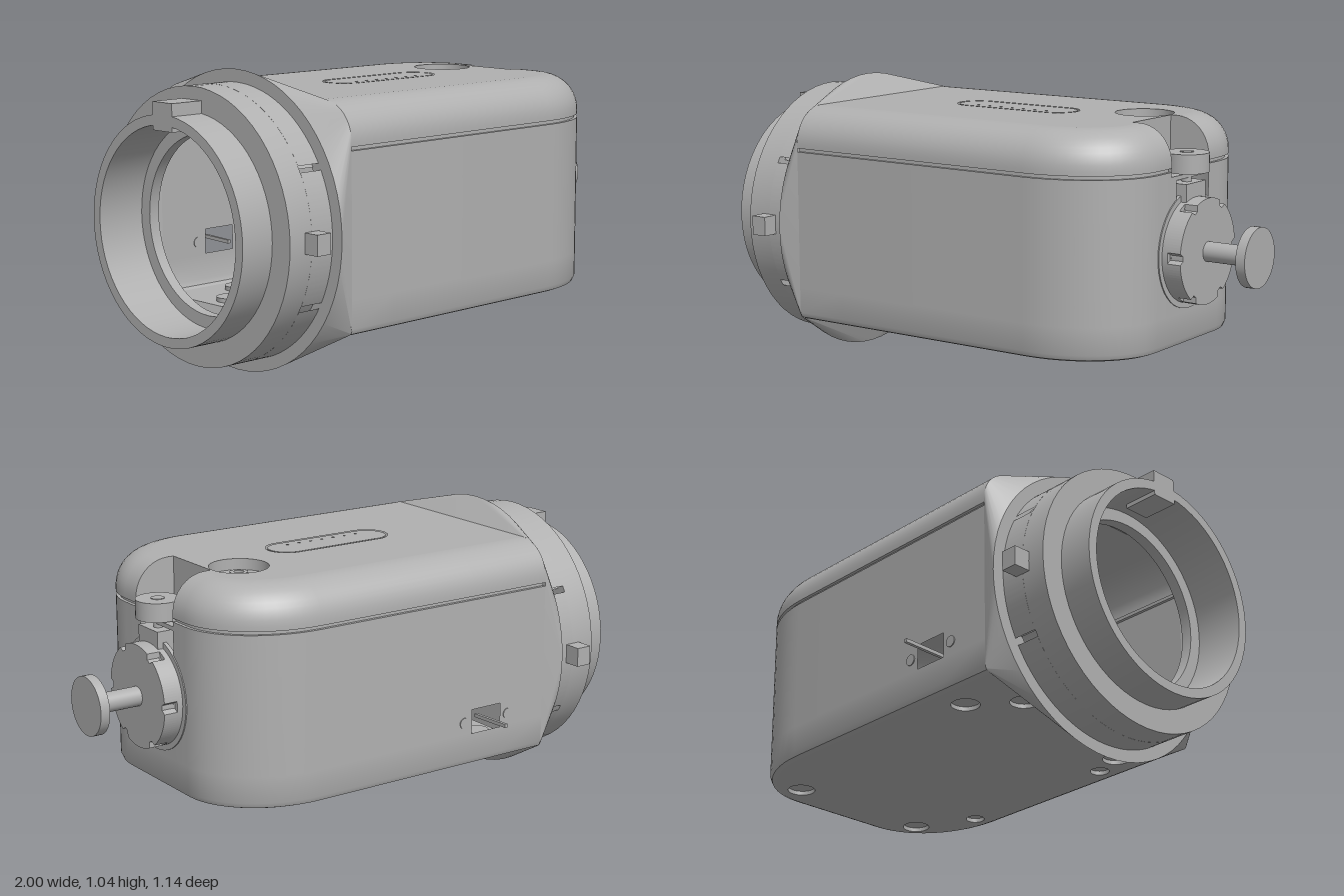
import * as THREE from 'three';
import { toCreasedNormals } from 'three/addons/utils/BufferGeometryUtils.js';

const CY = 0.525, CZ = 0.035;             // axis of the round mount and knobs
const BACK = -0.62, HALF = 0.4925;        // open end and half width of the housing
const BOTTOM = 0.19, TOP = 0.965, R_TOP = 0.13, R_BOT = 0.025;
const NOTCH = [-0.125, 0.122], NOTCH_X = 0.57, NOTCH_Y = 0.79;

export function createModel() {
  const model = new THREE.Group();
  const grey = new THREE.MeshStandardMaterial({ color: 0xb0b0b0, side: THREE.DoubleSide });
  grey.name = 'light grey';

  const add = (name, geo, x = 0, y = 0, z = 0) => {
    const mesh = new THREE.Mesh(geo, grey);
    mesh.name = name;
    mesh.position.set(x, y, z);
    model.add(mesh);
    return mesh;
  };
  const box = (name, x0, x1, y0, y1, z0, z1) => add(name,
    new THREE.BoxGeometry(x1 - x0, y1 - y0, z1 - z0), (x0 + x1) / 2, (y0 + y1) / 2, (z0 + z1) / 2);

  // Surface through rows of points, with optional openings
  const skin = (rows, skip = () => false) => {
    const pos = [];
    for (let r = 0; r < rows.length - 1; r++)
      for (let c = 0; c < rows[r].length - 1; c++) {
        if (skip(r, c)) continue;
        const [a, b, d, e] = [rows[r][c], rows[r][c + 1], rows[r + 1][c], rows[r + 1][c + 1]];
        pos.push(...a, ...d, ...b, ...b, ...d, ...e);
      }
    const geo = new THREE.BufferGeometry();
    geo.setAttribute('position', new THREE.Float32BufferAttribute(pos, 3));
    return toCreasedNormals(geo, 0.5);
  };

  // Lathe and disc turned around the x axis
  const turn = (name, pts, start = 0, sweep = Math.PI * 2) => {
    const profile = pts.map(([r, x]) => new THREE.Vector2(r, x));
    const geo = new THREE.LatheGeometry(profile, 64, start, sweep).rotateZ(-Math.PI / 2);
    return add(name, toCreasedNormals(geo, 0.5), 0, CY, CZ);
  };
  const disc = (name, r, x0, x1) => add(name,
    new THREE.CylinderGeometry(r, r, x1 - x0, 48).rotateZ(-Math.PI / 2), (x0 + x1) / 2, CY, CZ);

  // Housing outline seen from above, moved inwards by an inset
  const A = 0.355, B = 0.2925, FX = 0.725, N = 14;
  const plan = (inset) => {
    const side = [BACK, -0.42, -0.29].map((x) => [x, HALF - inset]);
    for (let i = 0; i <= N; i++) {
      const t = Math.PI / 2 * (1 - i / N);
      const n = new THREE.Vector2(Math.cos(t) / A, Math.sin(t) / B).normalize();
      side.push([FX - A + A * Math.cos(t) - n.x * inset, HALF - B + B * Math.sin(t) - n.y * inset]);
    }
    const front = [NOTCH[0], 0.09, NOTCH[1]].map((z) => [FX - inset, z]);
    return [...side.map(([x, z]) => [x, -z]), ...front, ...side.slice().reverse()]
      .map(([x, z]) => [x, z + CZ]);
  };
  const LO = N + 4;                       // index of the first notch point

  // Housing walls: rounded bottom edge, seam groove, rounded top edge
  const levels = [[BOTTOM, R_BOT], [0.197, 0.008], [0.215, 0], [0.31, 0], [0.4, 0], [0.66, 0],
    [0.775, 0], [NOTCH_Y, 0], [0.807, 0], [0.807, 0.012], [0.82, 0.012], [0.82, 0]];
  const arc = [];
  for (let i = 0; i <= 10; i++) {
    const t = Math.PI / 2 * i / 10;
    arc.push([TOP - R_TOP + R_TOP * Math.sin(t), R_TOP * (1 - Math.cos(t))]);
  }
  levels.push(...arc);
  const rows = levels.map(([y, inset]) => plan(inset).map(([x, z]) => [x, y, z]));
  add('housing', skin(rows, (r, c) => {
    const y = levels[r][0];
    const inNotch = c >= LO && c < LO + 2 && y >= NOTCH_Y;
    const underNotch = c === LO && y === 0.66;
    const switchWindow = c === 1 && y === 0.31;
    return inNotch || underNotch || switchWindow;
  }));

  // Flat covers with pits
  const flat = (pts, holes = []) => {
    const shape = new THREE.Shape(pts.map(([x, z]) => new THREE.Vector2(x, -z)));
    shape.holes.push(...holes);
    return new THREE.ShapeGeometry(shape, 16).rotateX(-Math.PI / 2);
  };
  const circle = (x, z, r) => new THREE.Path().absarc(x, -z, r, 0, Math.PI * 2, true);
  const stadium = (r, Type = THREE.Path) => {
    const s = new Type();
    s.absarc(0.175, -0.03, r, -Math.PI / 2, Math.PI / 2, false);
    s.absarc(-0.175, -0.03, r, Math.PI / 2, Math.PI * 1.5, false);
    s.closePath();
    return s;
  };
  const pit = (name, x, z, r, y0, y1, floor) => {
    add(name + 'Wall', new THREE.CylinderGeometry(r, r, y1 - y0, 32, 1, true), x, (y0 + y1) / 2, z);
    add(name + 'Floor', new THREE.CircleGeometry(r, 32).rotateX(-Math.PI / 2), x, floor, z);
  };

  const topLine = plan(R_TOP).flatMap((p, i) => {
    if (i === LO) return [p, [NOTCH_X, p[1]]];
    if (i === LO + 1) return [];
    return i === LO + 2 ? [[NOTCH_X, p[1]], p] : [p];
  });
  add('topCover', flat(topLine, [circle(0.46, -0.095, 0.105), stadium(0.078)]), 0, TOP, 0);
  pit('topDial', 0.46, -0.095, 0.105, TOP - 0.04, TOP, TOP - 0.04);
  add('dialPin', toCreasedNormals(new THREE.LatheGeometry(
    [[0.018, 0], [0.018, 0.02], [0.032, 0.02], [0.032, 0]].map((p) => new THREE.Vector2(...p)), 24), 0.5),
  0.46, TOP - 0.04, -0.095);

  // Oval plate in a fine groove
  add('ovalPlate', new THREE.ExtrudeGeometry(stadium(0.07, THREE.Shape),
    { depth: 0.015, bevelEnabled: false, curveSegments: 16 }).rotateX(-Math.PI / 2), 0, TOP - 0.015, 0);
  add('ovalGroove', new THREE.ShapeGeometry(stadium(0.08, THREE.Shape), 16)
    .rotateX(-Math.PI / 2), 0, TOP - 0.015, 0);
  for (let i = 0; i < 7; i++)
    add('plateDot', new THREE.CylinderGeometry(0.005, 0.005, 0.003, 8), -0.15 + i * 0.05, TOP, 0.065);

  // Underside with feet recesses and mounting holes
  const pits = [[0.6, -0.24, 0.05], [0.6, 0.33, 0.05], [-0.38, -0.32, 0.05], [-0.4, 0.4, 0.05],
    [-0.53, -0.19, 0.05], [-0.53, 0.05, 0.05], [0.38, 0.44, 0.035], [-0.28, 0.44, 0.035]];
  add('underside', flat(plan(R_BOT), pits.map((p) => circle(...p))), 0, BOTTOM, 0);
  pits.forEach(([x, z, r]) => pit('footRecess', x, z, r, BOTTOM, BOTTOM + 0.015, BOTTOM + 0.015));

  // Notch in the upper front edge
  const cheek = new THREE.Shape([[NOTCH_X, NOTCH_Y], [FX, NOTCH_Y],
    ...arc.map(([y, inset]) => [FX - inset, y]), [NOTCH_X, TOP]].map((p) => new THREE.Vector2(...p)));
  NOTCH.forEach((z) => add('notchCheek', new THREE.ShapeGeometry(cheek), 0, 0, CZ + z));
  const [n0, n1] = NOTCH.map((z) => z + CZ);
  add('notchBack', new THREE.PlaneGeometry(n1 - n0, TOP - NOTCH_Y).rotateY(Math.PI / 2),
    NOTCH_X, (TOP + NOTCH_Y) / 2, (n0 + n1) / 2);
  add('notchFloor', flat([[NOTCH_X, n0], [FX, n0], [FX, n1], [NOTCH_X, n1]]), 0, NOTCH_Y, 0);

  // Small vertical knob on its block
  box('knobBlock', 0.68, 0.75, 0.66, 0.76, -0.028, 0.1);
  add('smallKnobStem', new THREE.CylinderGeometry(0.017, 0.017, 0.05, 20), 0.71, 0.775, 0.033);
  add('smallKnob', new THREE.CylinderGeometry(0.078, 0.078, 0.067, 40), 0.71, 0.828, 0.033);
  add('smallKnobCentre', new THREE.CylinderGeometry(0.024, 0.024, 0.004, 24), 0.71, 0.862, 0.033);

  // Large front dial with six grip notches, shaft and button
  disc('dialSeat', 0.205, 0.715, 0.729);
  disc('dialBase', 0.168, 0.72, 0.755);
  const rim = [];
  for (let i = 0; i < 120; i++) {
    const near = Math.abs((i + 10) % 20 - 10);
    const r = near <= 1 ? 0.166 : 0.185, a = i * Math.PI / 60;
    rim.push(new THREE.Vector2(r * Math.cos(a), r * Math.sin(a)));
  }
  add('frontDial', new THREE.ExtrudeGeometry(new THREE.Shape(rim), { depth: 0.05, bevelEnabled: false })
    .rotateY(Math.PI / 2), 0.75, CY, CZ);
  disc('dialRear', 0.185, 0.725, 0.75);
  disc('shaft', 0.035, 0.79, 0.97);
  disc('shaftButton', 0.105, 0.965, 1.0);

  // Flange blending the round mount into the housing section
  const ring = [], section = [];
  for (let q = 0; q < 4; q++)
    for (let i = 0; i <= 16; i++) {
      const t = (q + i / 16) * Math.PI / 2, c = Math.cos(t), s = Math.sin(t);
      const r = q < 2 ? R_TOP : R_BOT, sz = q === 0 || q === 3 ? 1 : -1;
      ring.push([-0.69, CY + 0.52 * s, CZ + 0.52 * c]);
      section.push([BACK, (q < 2 ? TOP - r : BOTTOM + r) + r * s, CZ + sz * (HALF - r) + r * c]);
    }
  ring.push(ring[0]);
  section.push(section[0]);
  add('flange', skin([ring, section]));
  turn('flangeFace', [[0.44, -0.69], [0.52, -0.69]]);

  // Round mount with stepped bore, and a collar split by four slots
  turn('mountRing', [[0.355, -1], [0.39, -1], [0.39, -0.875], [0.475, -0.875], [0.475, -0.78],
    [0.31, -0.78], [0.31, -0.82], [0.355, -0.82], [0.355, -1]]);
  const collar = [[0.445, -0.78], [0.475, -0.78], [0.475, -0.69], [0.445, -0.69], [0.445, -0.78]];
  const slot = 0.506, gap = 0.025;
  for (const base of [0, Math.PI]) {
    turn('collarSide', collar, base - slot + gap, 2 * (slot - gap));
    turn('collarArc', collar, base + slot + gap, Math.PI - 2 * (slot + gap));
  }
  box('topTab', -1, -0.87, 0.86, 0.955, -0.02, 0.08);
  box('leftLug', -0.81, -0.75, 0.49, 0.56, 0.49, 0.567);
  box('rightLug', -0.81, -0.75, 0.49, 0.56, -0.502, -0.42);

  // Rear switch lever with two screws
  box('switchLever', -0.361, -0.349, 0.348, 0.361, -0.57, -0.4).rotation.x = 0.03;
  for (const x of [-0.455, -0.255])
    add('switchScrew', new THREE.CylinderGeometry(0.02, 0.02, 0.006, 20).rotateX(Math.PI / 2), x, 0.355, -0.458);

  return model;
}
